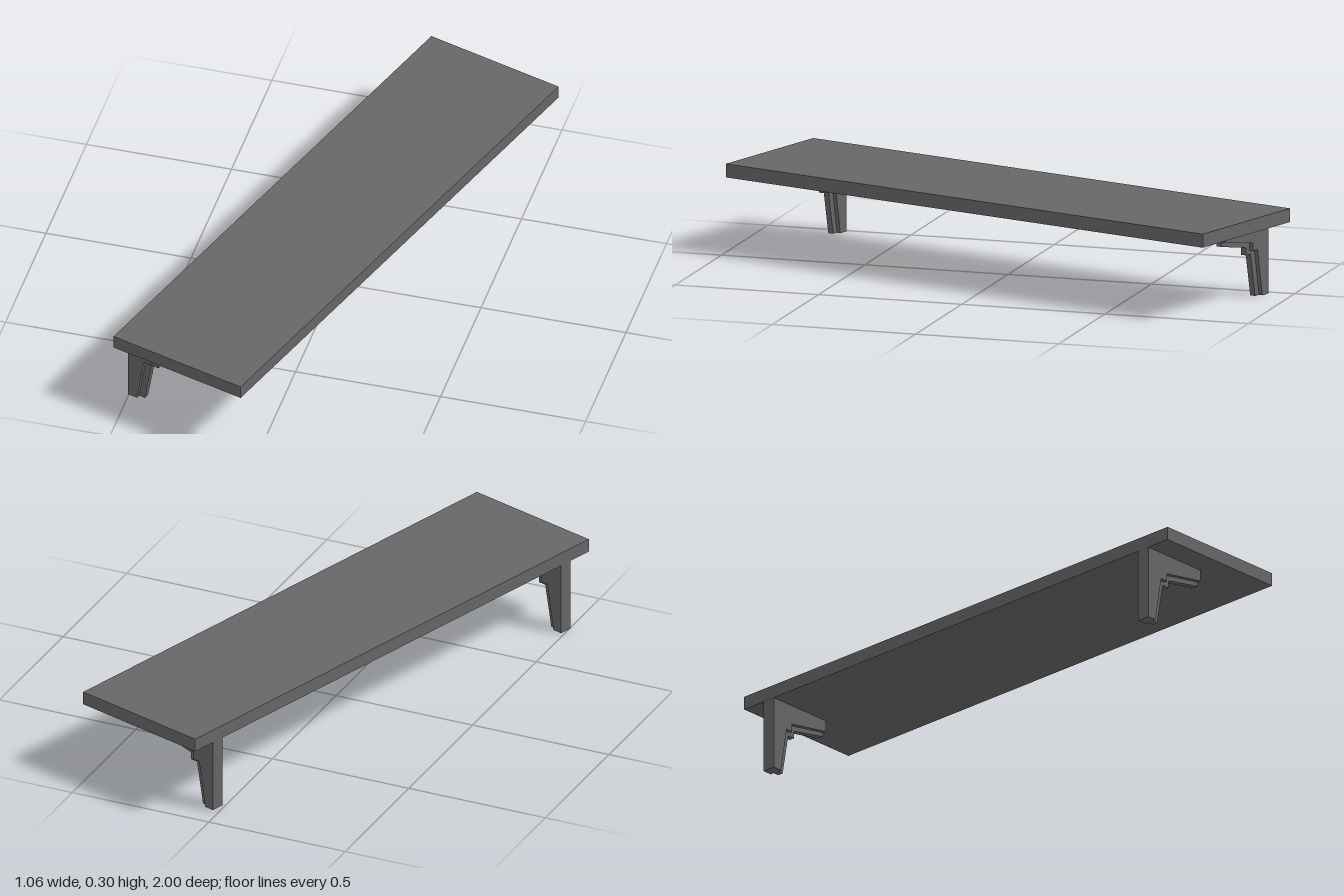
import * as THREE from 'three';

const TOP = 0.3, UNDER = 0.254, LENGTH = 1.94, WIDTH = 0.503;

// Bracket outlines (depth, height): the thick body and the thin rib that stands out from its middle
const bodyOutline = [[-0.251, 0], [-0.216, 0], [-0.189, 0.16], [-0.162, 0.16],
  [-0.162, 0.187], [0, 0.215], [0, UNDER], [-0.251, UNDER]];
const ribOutline = [[-0.251, 0], [-0.194, 0], [-0.167, 0.147], [-0.14, 0.147],
  [-0.14, 0.173], [0, 0.2], [0, UNDER], [-0.251, UNDER]];

// Stack the outlines across the thickness, join them with strips and cap both sides
function bracketGeometry(bodyHalf, ribHalf) {
  const rings = [[bodyOutline, -bodyHalf], [bodyOutline, -ribHalf], [ribOutline, -ribHalf],
    [ribOutline, ribHalf], [bodyOutline, ribHalf], [bodyOutline, bodyHalf]]
    .map(([outline, z]) => outline.map(([x, y]) => new THREE.Vector3(x, y, z)));
  const points = [];
  // Faces without area, where the outlines coincide, are left out
  const addFace = (a, b, c) => {
    if (new THREE.Triangle(a, b, c).getArea() > 1e-8) points.push(a, b, c);
  };
  const n = bodyOutline.length;
  for (let k = 0; k < rings.length - 1; k++) {
    for (let i = 0; i < n; i++) {
      const j = (i + 1) % n;
      addFace(rings[k][i], rings[k][j], rings[k + 1][j]);
      addFace(rings[k][i], rings[k + 1][j], rings[k + 1][i]);
    }
  }
  const back = rings[0], front = rings[rings.length - 1];
  const flat = bodyOutline.map(([x, y]) => new THREE.Vector2(x, y));
  for (const [a, b, c] of THREE.ShapeUtils.triangulateShape(flat, [])) {
    addFace(front[a], front[b], front[c]);
    addFace(back[a], back[c], back[b]);
  }
  const geometry = new THREE.BufferGeometry().setFromPoints(points);
  geometry.computeVertexNormals();
  return geometry;
}

export function createModel() {
  const model = new THREE.Group();
  model.name = 'wallShelf';
  const material = new THREE.MeshStandardMaterial({ color: 0x666666, flatShading: true });

  // Plank
  const board = new THREE.Mesh(new THREE.BoxGeometry(WIDTH, TOP - UNDER, LENGTH), material);
  board.name = 'shelfBoard';
  board.position.y = (TOP + UNDER) / 2;
  model.add(board);

  // Two identical brackets flush with the long wall edge
  const geometry = bracketGeometry(0.0235, 0.01);
  for (const side of [-1, 1]) {
    const bracket = new THREE.Mesh(geometry, material);
    bracket.name = side > 0 ? 'frontBracket' : 'backBracket';
    bracket.position.z = side * 0.858;
    model.add(bracket);
  }

  // The whole shelf stands turned about the vertical
  model.rotation.y = -0.303;
  const root = new THREE.Group();
  root.name = 'shelf';
  root.add(model);
  return root;
}
